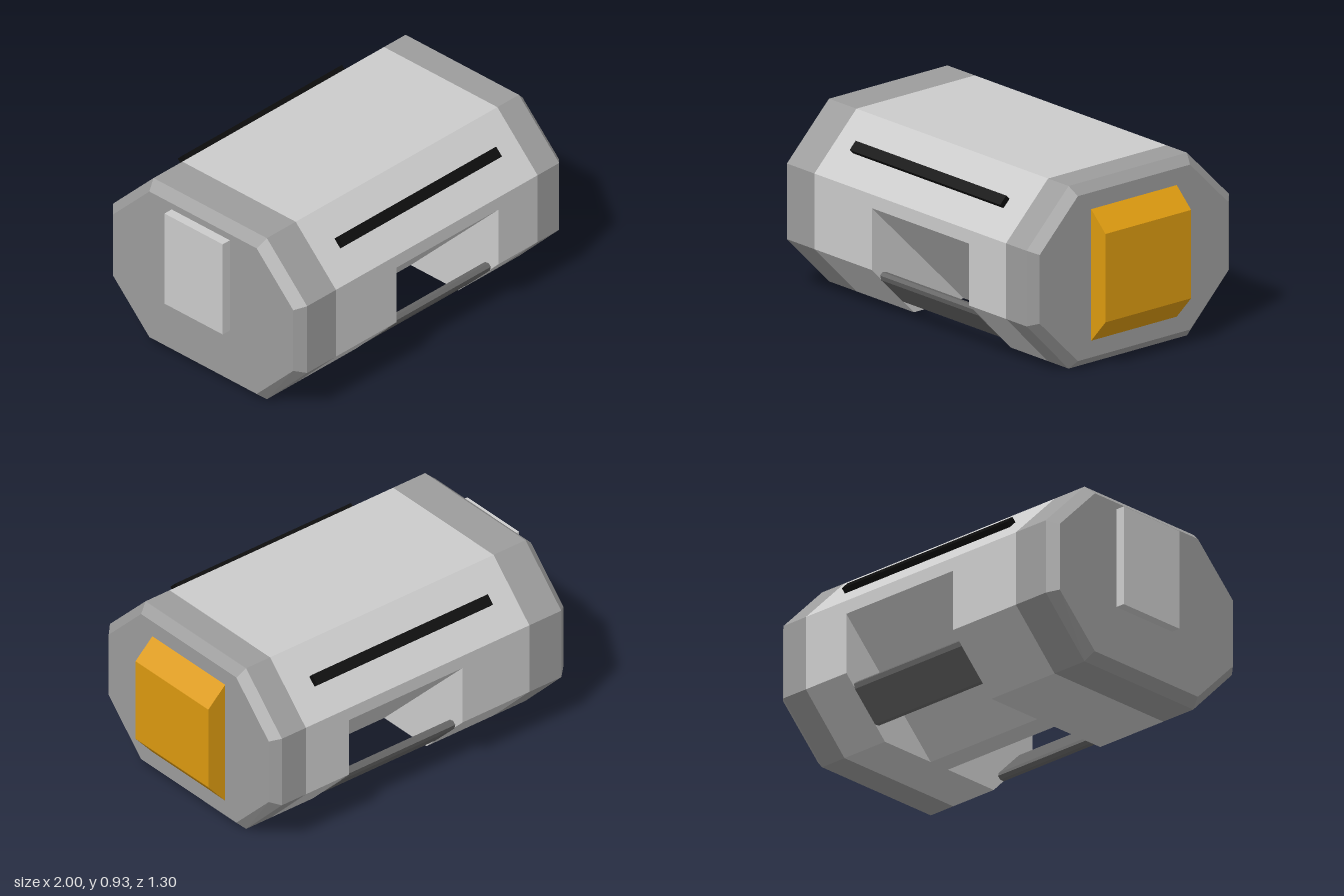
import * as THREE from 'three';
import { ConvexGeometry } from 'three/addons/geometries/ConvexGeometry.js';

const paint = (color) => new THREE.MeshStandardMaterial({ color, flatShading: true });

// Completes a half cross-section of [z, y] points by mirroring it across z = 0
const mirrored = (half) => [...half, ...half.map(([z, y]) => [-z, y]).reverse()];

const OUTER = mirrored([[0.38, 0.93], [0.65, 0.66], [0.65, 0.275], [0.38, 0]]);
const INNER = mirrored([[0.36, 0.885], [0.605, 0.64], [0.605, 0.29], [0.36, 0.045]]);
const NOTCHED = mirrored([[0.38, 0.93], [0.65, 0.66], [0.65, 0.59], [0.06, 0]]);

// Extrudes a [z, y] cross-section along x from x0 to x1
function prism(section, x0, x1) {
  const shape = new THREE.Shape(section.map(([z, y]) => new THREE.Vector2(-z, y)));
  const geometry = new THREE.ExtrudeGeometry(shape, { depth: x1 - x0, bevelEnabled: false });
  return geometry.rotateY(Math.PI / 2).translate(x0, 0, 0);
}

// Convex solid through cross-sections placed along x
function hull(rings) {
  return new ConvexGeometry(rings.flatMap(([x, ring]) => ring.map(([z, y]) => new THREE.Vector3(x, y, z))));
}

const rect = (z0, z1, y0, y1) => [[z0, y0], [z1, y0], [z1, y1], [z0, y1]];

export function createModel() {
  const model = new THREE.Group();
  model.name = 'canister';
  const shell = paint(0xcccccc);
  const capGrey = paint(0x9c9c9c);
  const handleGrey = paint(0x666666);
  const black = paint(0x0c0c0c);
  const orange = paint(0xdc9a10);

  const add = (name, geometry, material) => {
    const mesh = new THREE.Mesh(geometry, material);
    mesh.name = name;
    model.add(mesh);
    return mesh;
  };

  // Octagonal body, undercut on both sides between the two full sections
  add('bodyRight', prism(OUTER, -0.7, -0.28), shell);
  add('bodyNotched', prism(NOTCHED, -0.28, 0.43), shell);
  add('bodyLeft', prism(OUTER, 0.43, 0.7), shell);

  // End caps with chamfered rims
  add('endCapRight', hull([[-0.95, INNER], [-0.9, OUTER], [-0.7, OUTER]]), capGrey);
  add('endCapLeft', hull([[0.7, OUTER], [0.85, OUTER], [0.895, INNER]]), capGrey);

  // Tapered block on one end, flat plate on the other
  add('endBlock', hull([
    [0.88, rect(-0.275, 0.275, 0.13, 0.8)],
    [0.895, rect(-0.275, 0.275, 0.13, 0.8)],
    [1, rect(-0.275, 0.275, 0.25, 0.7)],
  ]), orange);
  add('endPlate', hull([
    [-1, rect(-0.21, 0.18, 0.33, 0.85)],
    [-0.94, rect(-0.21, 0.18, 0.33, 0.85)],
  ]), shell);

  // Carrying bar across each undercut and a dark strip on each upper slope
  const bar = [[0.45, 0.07], [0.59, 0.21], [0.597, 0.235], [0.582, 0.25],
    [0.557, 0.245], [0.415, 0.103], [0.41, 0.085], [0.425, 0.07]];
  for (const side of [1, -1]) {
    const label = side > 0 ? 'Front' : 'Back';
    add('handle' + label, prism(bar.map(([z, y]) => [z * side, y]), -0.28, 0.43), handleGrey);
    const strip = add('strip' + label, new THREE.BoxGeometry(1.1, 0.055, 0.06), black);
    strip.position.set(0, 0.795, 0.515 * side);
    strip.rotation.x = -side * Math.PI / 4;
  }
  return model;
}
